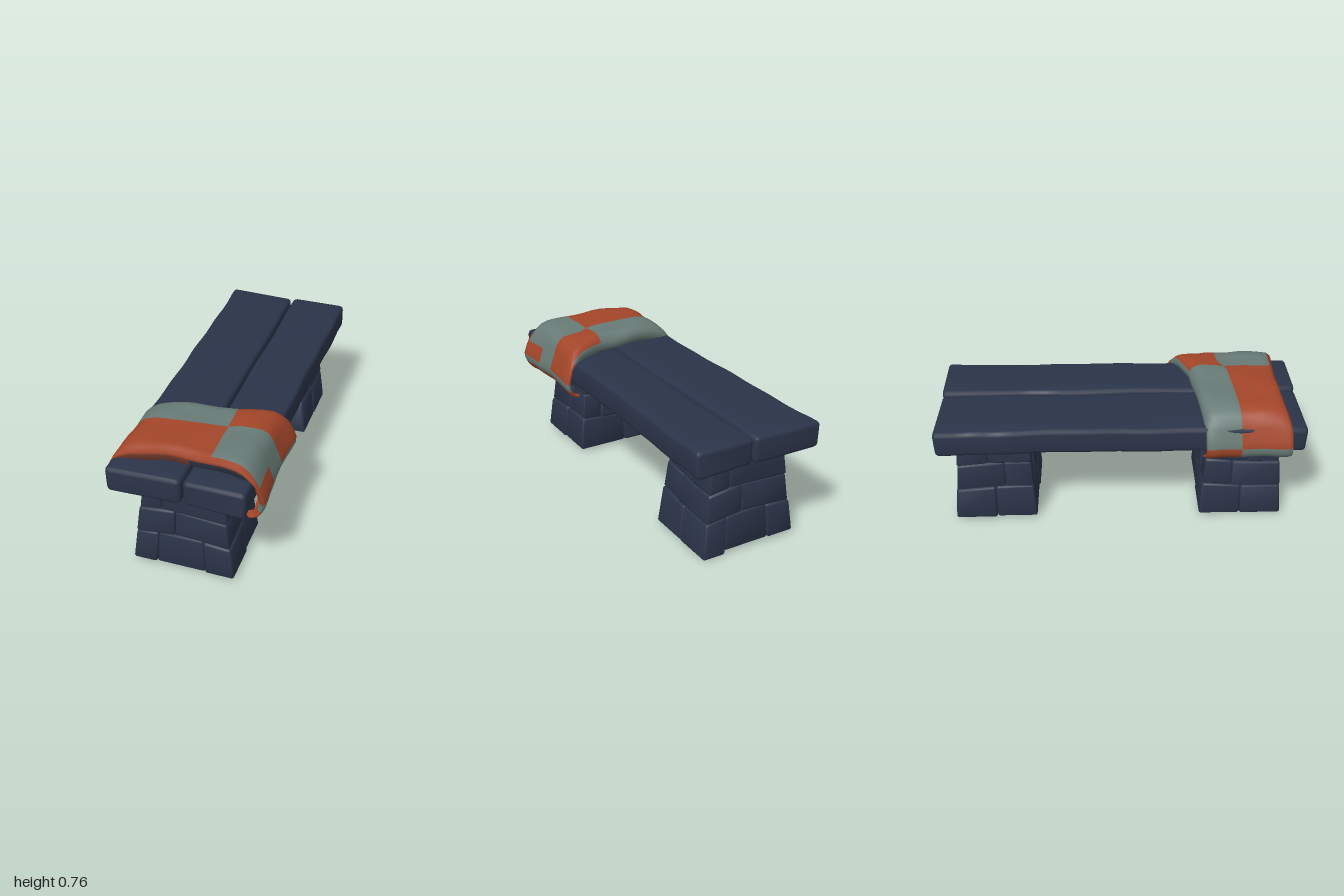
import * as THREE from 'three';
import { toCreasedNormals } from 'three/addons/utils/BufferGeometryUtils.js';
import { RoundedBoxGeometry } from 'three/addons/geometries/RoundedBoxGeometry.js';

const { lerp, smoothstep } = THREE.MathUtils;

// Moves every vertex by a rule
function warp(geo, rule) {
  const p = geo.attributes.position, v = new THREE.Vector3();
  for (let i = 0; i < p.count; i++) {
    rule(v.fromBufferAttribute(p, i));
    p.setXYZ(i, v.x, v.y, v.z);
  }
  return geo;
}

// Long stone slab with softened edges, slightly flared at its ends and uneven
function slab(name, x0, x1, side, mat) {
  const y0 = 0.51, y1 = 0.655, r = 0.025, s = new THREE.Shape();
  s.moveTo(x0 + r, y0);
  s.lineTo(x1 - r, y0);
  s.quadraticCurveTo(x1, y0, x1, y0 + r);
  s.lineTo(x1, y1 - r);
  s.quadraticCurveTo(x1, y1, x1 - r, y1);
  s.lineTo(x0 + r, y1);
  s.quadraticCurveTo(x0, y1, x0, y1 - r);
  s.lineTo(x0, y0 + r);
  s.quadraticCurveTo(x0, y0, x0 + r, y0);
  const b = 0.02;
  const geo = new THREE.ExtrudeGeometry(s, {
    depth: 1.98 - 2 * b, steps: 24, curveSegments: 3,
    bevelThickness: b, bevelSize: b, bevelOffset: -b, bevelSegments: 3,
  });
  geo.translate(0, 0, -0.99 + b);
  warp(geo, (v) => {
    const outer = (v.x - (x0 + x1) / 2) * side > 0;
    if (outer) v.x += side * (0.014 * v.z * v.z + 0.003 * Math.sin(v.z * 17 + side));
    else v.x += 0.003 * Math.sin(v.z * 9);
    v.y += 0.003 * Math.sin(v.z * 7 + side + v.x * 5);
    v.z += 0.008 * Math.sign(v.z) * Math.abs(v.z) ** 4 * Math.sin(v.x * 12 + v.y * 9);
  });
  const mesh = new THREE.Mesh(toCreasedNormals(geo, 0.7), mat);
  mesh.name = name;
  return mesh;
}

// Tapered pier of staggered stone blocks; facing is 1 for the front, -1 for the rear
function pier(name, zMid, facing, mat) {
  const group = new THREE.Group();
  group.name = name;
  const hx = 0.277, hz = 0.232;
  // Courses: bottom, top, depth split, x splits on the outer and inner face
  const courses = [
    [0.015, 0.205, 0.0, [-0.15, 0.12], [-0.03]],
    [0.205, 0.36, -0.06, [-0.05], [-0.12, 0.14]],
    [0.36, 0.53, 0.04, [-0.14], [0.06]],
  ];
  let n = 0;
  for (const [y0, y1, split, outer, inner] of courses) {
    for (const [row, za, zb] of [[outer, split, hz], [inner, -hz, split]]) {
      const xs = [-hx, ...row, hx];
      for (let i = 0; i < xs.length - 1; i++) {
        n++;
        const xa = xs[i], xb = xs[i + 1];
        const low = facing < 0 && y0 < 0.1 && xb < 0 ? 0 : y0;
        const out = 0.006 * Math.sin(n * 2.3);
        const geo = new RoundedBoxGeometry(xb - xa, y1 - low, zb - za, 2, 0.014);
        geo.translate((xa + xb) / 2, (low + y1) / 2, (za + zb) / 2);
        warp(geo, (v) => {
          // uneven joints and a push in or out on the exposed faces
          if (v.y > 0.1 && v.y < 0.45) v.y += 0.012 * Math.sin(v.x * 9 + v.z * 7);
          if (Math.abs(v.x) > hx - 0.03) v.x += Math.sign(v.x) * out;
          if (Math.abs(v.z) > hz - 0.03) v.z += Math.sign(v.z) * out * 0.7;
          const t = v.y / 0.52;
          v.x = v.x * lerp(1, 0.775, t) * facing - 0.017;
          v.z = v.z * lerp(1, 0.84, t) * facing + zMid;
        });
        const block = new THREE.Mesh(toCreasedNormals(geo, 0.7), mat);
        block.name = 'stoneBlock';
        group.add(block);
      }
    }
  }
  return group;
}

// Checked blanket draped across the slabs, built from a section swept front to back
function blanket(mats) {
  const section = [
    [-0.345, 0.46], [-0.405, 0.49], [-0.42, 0.55], [-0.395, 0.62], [-0.357, 0.685],
    [-0.295, 0.73], [-0.2, 0.745], [-0.1, 0.752], [0.02, 0.75], [0.13, 0.75],
    [0.22, 0.746], [0.3, 0.735], [0.352, 0.69], [0.388, 0.63], [0.42, 0.545],
    [0.41, 0.5], [0.385, 0.465], [0.345, 0.447],
  ].map(([x, y]) => new THREE.Vector3(x, y, 0));
  const curve = new THREE.CatmullRomCurve3(section, false, 'catmullrom', 0.5);
  const sub = 2, cols = (section.length - 1) * sub;
  // Rows: position from front (0) over the colour change (0.5) to back (1), and drop at the rims
  const rows = [
    [0.08, 0.105], [0.03, 0.085], [0.01, 0.045], [0, 0.025], [0.035, 0.005], [0.1, 0], [0.19, 0],
    [0.29, 0], [0.4, 0.003], [0.5, 0.002], [0.6, 0], [0.7, 0.002], [0.8, 0], [0.88, 0.004],
    [0.94, 0.014], [0.985, 0.035], [1, 0.06], [0.975, 0.085], [0.92, 0.1],
  ];
  const ORANGE = 0, GREY = 1, BROWN = 2, DARK = 3;
  const pos = [], parts = [[], [], [], []];
  for (const [s, drop] of rows) {
    for (let c = 0; c <= cols; c++) {
      const p = curve.getPoint(c / cols), x = p.x;
      const front = 0.875 + 0.2 * x * x - 0.02 * x;
      const mid = 0.615 - 0.08 * x - 0.035 * smoothstep(x, 0.1, 0.2);
      const back = x < 0.13 ? 0.41 - 0.11 * x : lerp(0.396, 0.29, (x - 0.13) / 0.28);
      const z = s < 0.5 ? lerp(front, mid, s * 2) : lerp(mid, back, s * 2 - 1);
      const w = smoothstep(p.y, 0.62, 0.73);
      const ripple = 0.004 * Math.sin(x * 21 + z * 11) + 0.003 * Math.sin(z * 31 - x * 8);
      // the sides flare at the corners and turn in along the rims
      const pull = 1 - (1 - w) * (0.05 * Math.sin(Math.PI * s) + 0.9 * drop) - 0.1 * w * drop;
      pos.push(x * pull, p.y + ripple - drop * w, z);
    }
  }
  const pick = (r, k, s) => {
    const front = s < 0.5;
    if (k === 0 || k > 14) return ORANGE;                            // turned-in edges
    if (k === 14 || (k === 1 && front)) return GREY;                 // hems
    if (k === 1) return ORANGE;
    if (r < 2 && k > 3 && k < 13) return k < 8 ? BROWN : DARK;       // hollow under the front rim
    if (r < 4) return ORANGE;                                        // front rim
    if (r > 14 && k > 3 && k < 12) return GREY;                      // folds under the back rim
    if (k === 13 && s < 0.29) return ORANGE;                         // patch low on the left side
    return k < 9 === front ? ORANGE : GREY;                          // four large checks
  };
  for (let r = 0; r < rows.length - 1; r++) {
    const s = (rows[r][0] + rows[r + 1][0]) / 2;
    for (let c = 0; c < cols; c++) {
      const a = r * (cols + 1) + c, b = a + 1, d = a + cols + 1, e = d + 1;
      parts[pick(r, Math.floor(c / sub), s)].push(a, b, e, a, e, d);
    }
  }
  const geo = new THREE.BufferGeometry();
  geo.setAttribute('position', new THREE.Float32BufferAttribute(pos, 3));
  geo.setIndex(parts.flat());
  let start = 0;
  parts.forEach((part, i) => {
    geo.addGroup(start, part.length, i);
    start += part.length;
  });
  geo.computeVertexNormals();
  const mesh = new THREE.Mesh(geo, mats);
  mesh.name = 'blanket';
  return mesh;
}

export function createModel() {
  const material = (name, color, side = THREE.FrontSide) => {
    const m = new THREE.MeshStandardMaterial({ color, side });
    m.name = name;
    return m;
  };
  const stone = material('slateStone', 0x2b3449);
  const orange = material('rustCloth', 0xa3462a, THREE.DoubleSide);
  const grey = material('greyGreenCloth', 0x687b76, THREE.DoubleSide);
  const brown = material('brownCloth', 0x7a4034, THREE.DoubleSide);
  const dark = material('darkCloth', 0x343a4c, THREE.DoubleSide);

  const bench = new THREE.Group();
  bench.name = 'stoneBench';
  bench.add(
    slab('rightSlab', -0.365, 0.01, -1, stone),
    slab('leftSlab', 0.026, 0.337, 1, stone),
    pier('frontPier', 0.68, 1, stone),
    pier('rearPier', -0.7, -1, stone),
    blanket([orange, grey, brown, dark]),
  );
  return bench;
}
